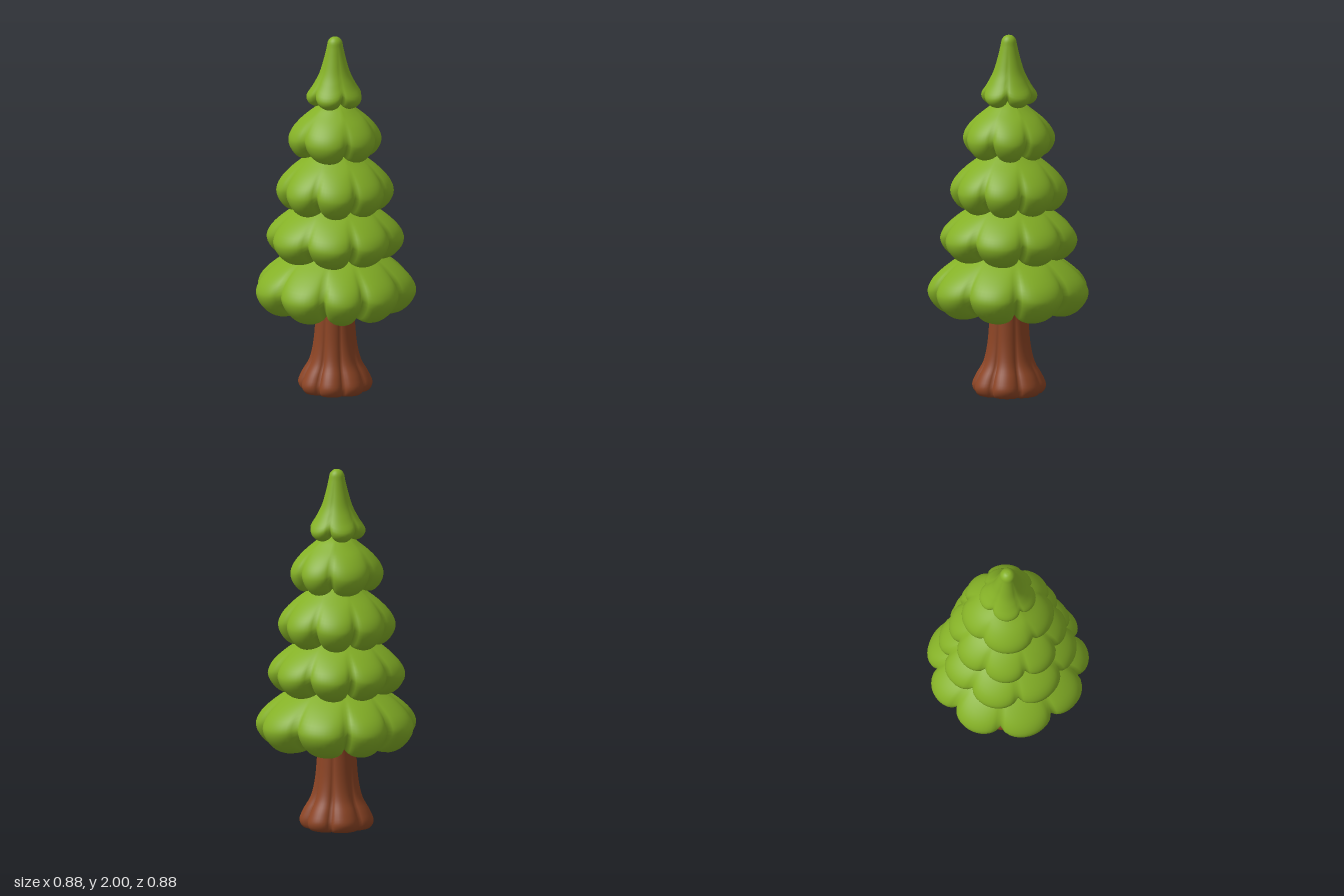
import * as THREE from 'three';

const foliage = new THREE.MeshStandardMaterial({ color: 0x84b026 });
foliage.name = 'foliage green';
const bark = new THREE.MeshStandardMaterial({ color: 0x8c4424 });
bark.name = 'bark brown';

// Turned solid with rounded lobes round its axis.
// profile: [radius, height, lobe depth] from bottom to top; lobes: centre angles in degrees, rising.
function lobedSolid(name, material, profile, lobes, lift, rowCount) {
  const curve = new THREE.CatmullRomCurve3(profile.map((p) => new THREE.Vector3(...p)), false, 'centripetal');
  const rows = curve.getPoints(rowCount);
  const steps = 12;
  const columns = [];
  lobes.forEach((centre, i) => {
    const prev = i ? lobes[i - 1] : lobes[lobes.length - 1] - 360;
    const next = i < lobes.length - 1 ? lobes[i + 1] : lobes[0] + 360;
    const from = (prev + centre) / 2, to = (centre + next) / 2;
    for (let k = 0; k < steps; k++) {
      const angle = from + ((to - from) * k) / steps;
      const t = angle < centre ? (centre - angle) / (centre - from) : (angle - centre) / (to - centre);
      // 0 on the crest of a lobe, 1 in the valley between two
      const valley = (1 - Math.sqrt(1 - 0.93 * t * t)) / (1 - Math.sqrt(0.07));
      columns.push([THREE.MathUtils.degToRad(angle), valley]);
    }
  });
  const positions = [], index = [], n = columns.length;
  rows.forEach((p, i) => columns.forEach(([a, valley], j) => {
    const depth = Math.max(0, p.z) * valley;
    const r = Math.max(0, p.x) * (1 - depth);
    positions.push(r * Math.cos(a), p.y + lift * depth, r * Math.sin(a));
    if (i < rows.length - 1) {
      const j2 = (j + 1) % n;
      const b = i * n + j, c = i * n + j2, d = b + n, e = c + n;
      index.push(b, d, c, c, d, e);
    }
  }));
  const geometry = new THREE.BufferGeometry();
  geometry.setAttribute('position', new THREE.Float32BufferAttribute(positions, 3));
  geometry.setIndex(index);
  geometry.computeVertexNormals();
  const mesh = new THREE.Mesh(geometry, material);
  mesh.name = name;
  return mesh;
}

// Shared section of the four rounded tiers, scaled by radius and height
const tierProfile = [
  [0, 0.3, 0], [0.3, 0.2, 0.1], [0.55, 0.04, 0.22], [0.74, 0, 0.24], [0.9, 0.1, 0.2], [1, 0.31, 0.14],
  [0.95, 0.47, 0.13], [0.78, 0.66, 0.11], [0.52, 0.85, 0.06], [0.28, 1, 0], [0, 1.08, 0],
];

const tiers = [
  { y: 0.45, h: 0.39, r: 0.445, lobes: [-138, -99, -65, -13, 22, 69, 100, 134, 180] },
  { y: 0.755, h: 0.34, r: 0.378, lobes: [-152, -105, -70, -23, 18, 72, 108, 162] },
  { y: 1.025, h: 0.34, r: 0.322, lobes: [-162, -115, -73, -25, 18, 62, 106, 152] },
  { y: 1.325, h: 0.3, r: 0.256, lobes: [-90, -38, 8, 62, 118, 195] },
];

export function createModel() {
  const tree = new THREE.Group();
  tree.name = 'pineTree';

  // Trunk flaring into root lobes
  tree.add(lobedSolid('trunk', bark, [
    [0, 0, 0], [0.1, 0, 0.12], [0.185, 0.006, 0.18], [0.205, 0.045, 0.2], [0.185, 0.1, 0.2], [0.145, 0.17, 0.17],
    [0.122, 0.26, 0.12], [0.11, 0.38, 0.08], [0.105, 0.48, 0.05], [0.105, 0.6, 0],
  ], [-150, -88, -35, 18, 70, 115, 162], 0, 32));

  // Rounded foliage tiers
  tiers.forEach(({ y, h, r, lobes }, i) => {
    const profile = tierProfile.map(([pr, py, d]) => [pr * r, y + py * h, d]);
    tree.add(lobedSolid('foliageTier' + (i + 1), foliage, profile, lobes, 0.16, 36));
  });

  // Pointed crown
  tree.add(lobedSolid('crown', foliage, [
    [0, 1.65, 0], [0.06, 1.63, 0.15], [0.11, 1.61, 0.24], [0.145, 1.63, 0.22], [0.157, 1.665, 0.2], [0.122, 1.725, 0.18],
    [0.088, 1.79, 0.14], [0.063, 1.87, 0.1], [0.046, 1.94, 0.04], [0.036, 1.98, 0], [0.018, 1.997, 0], [0, 2, 0],
  ], [-90, -20, 52, 125, 200], 0.16, 40));

  return tree;
}
